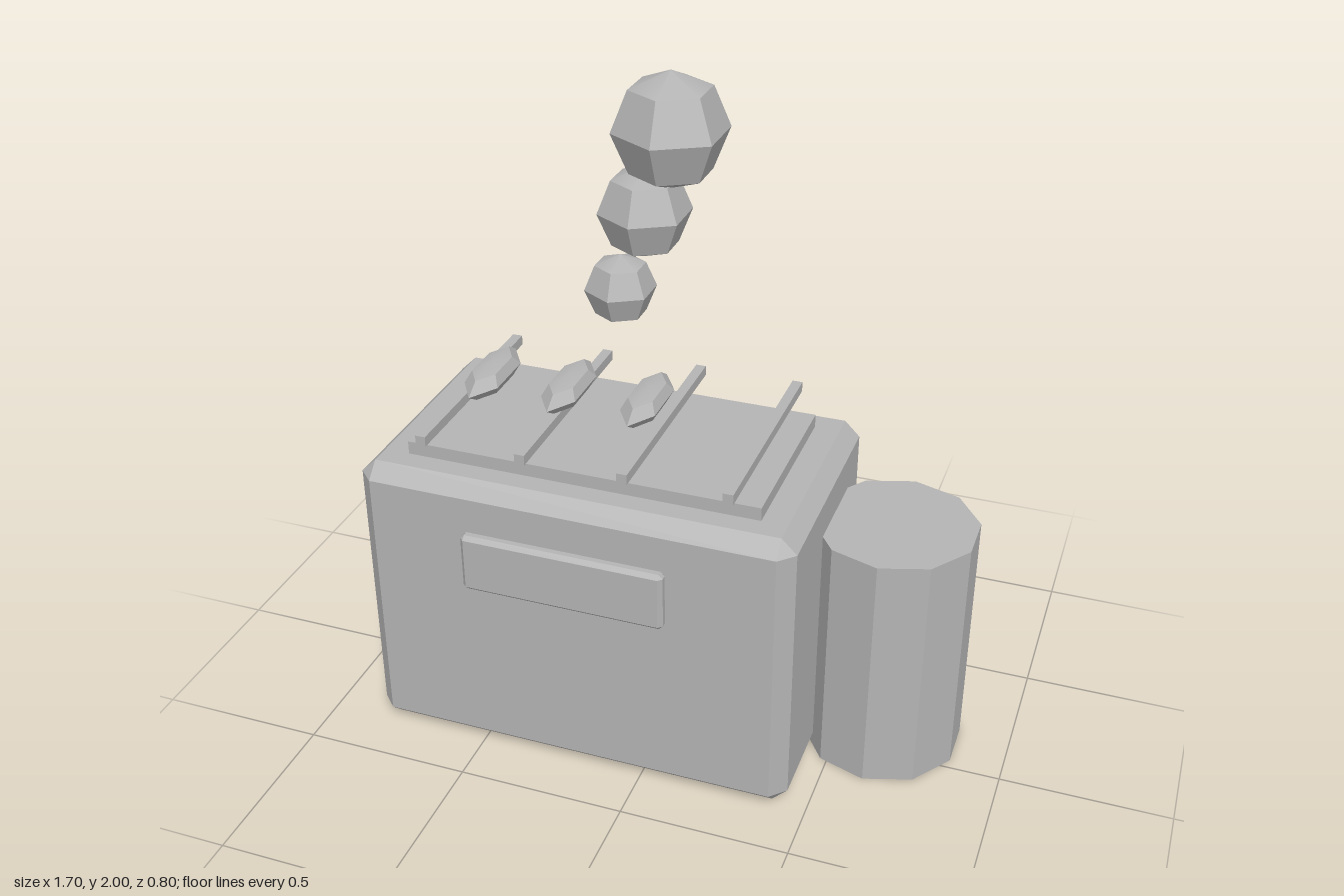
import * as THREE from 'three';
import { toCreasedNormals } from 'three/addons/utils/BufferGeometryUtils.js';
import { ConvexGeometry } from 'three/addons/geometries/ConvexGeometry.js';

const grey = new THREE.MeshStandardMaterial({ color: 0xb4b4b4 });
grey.name = 'grey';

const MID_Z = -0.027; // centre line of the grill in depth

function createPart(parent, name, geometry, x, y, z) {
  const mesh = new THREE.Mesh(geometry, grey);
  mesh.name = name;
  mesh.position.set(x, y, z);
  parent.add(mesh);
  return mesh;
}

// Box with every edge cut flat by c
function chamferBox(w, h, d, c) {
  const points = [];
  for (const sx of [-1, 1]) for (const sy of [-1, 1]) for (const sz of [-1, 1]) {
    const [x, y, z] = [w / 2, h / 2, d / 2];
    points.push(
      new THREE.Vector3(sx * x, sy * (y - c), sz * (z - c)),
      new THREE.Vector3(sx * (x - c), sy * y, sz * (z - c)),
      new THREE.Vector3(sx * (x - c), sy * (y - c), sz * z));
  }
  return new ConvexGeometry(points);
}

// Faceted six-sided ball, with its points facing front and back
function ball(rx, ry, rz) {
  const geometry = new THREE.SphereGeometry(1, 6, 4).rotateY(Math.PI / 2).scale(rx, ry, rz);
  return toCreasedNormals(geometry, Math.PI / 6);
}

export function createModel() {
  const model = new THREE.Group();
  model.name = 'grill';

  // Cabinet, cooking plate and front panel
  createPart(model, 'cabinet', chamferBox(1.29, 0.905, 0.75, 0.045), -0.205, 0.4525, MID_Z);
  createPart(model, 'cookingPlate', new THREE.BoxGeometry(1.05, 0.045, 0.535), -0.205, 0.922, MID_Z);
  createPart(model, 'frontPanel', chamferBox(0.6, 0.18, 0.04, 0.012), -0.207, 0.682, 0.382);

  // Gas tank at the side
  const tank = toCreasedNormals(new THREE.CylinderGeometry(0.238, 0.238, 0.75, 10), Math.PI / 6);
  createPart(model, 'tank', tank, 0.62, 0.375, -0.105);

  // Grate bars
  const grate = new THREE.Group();
  grate.name = 'grate';
  model.add(grate);
  for (let i = 0; i < 4; i++) {
    createPart(grate, 'grateBar', new THREE.BoxGeometry(0.03, 0.03, 0.66), -0.655 + i * 0.3, 0.995, MID_Z);
  }

  // Food lying along the grate
  const food = new THREE.Group();
  food.name = 'food';
  model.add(food);
  for (let i = 0; i < 3; i++) {
    createPart(food, 'sausage', ball(0.06, 0.043, 0.162), -0.583 + i * 0.24, 1.057, MID_Z);
  }

  // Rising smoke puffs: x, y, radius
  const smoke = new THREE.Group();
  smoke.name = 'smoke';
  model.add(smoke);
  for (const [x, y, r] of [[-0.207, 1.357, 0.103], [-0.132, 1.598, 0.133], [-0.057, 1.838, 0.163]]) {
    createPart(smoke, 'smokePuff', ball(r, r, r), x, y, -0.1);
  }

  return model;
}
